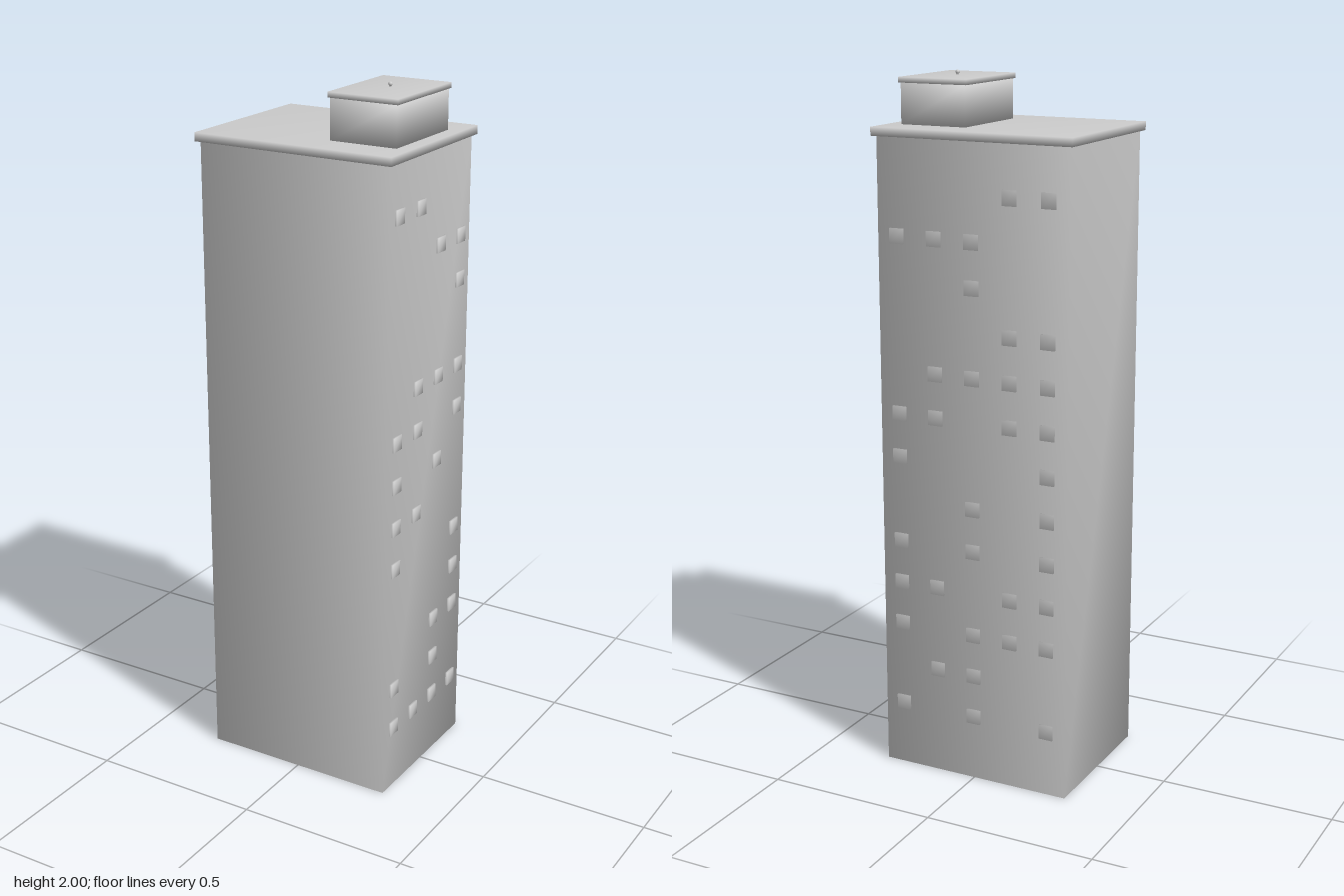
import * as THREE from 'three';
import { mergeVertices } from 'three/addons/utils/BufferGeometryUtils.js';

const material = new THREE.MeshStandardMaterial({ color: 0xcccccc });

// Box with welded corners, so the shading runs softly across its edges
function softBox(w, h, d) {
  const box = new THREE.BoxGeometry(w, h, d);
  box.deleteAttribute('normal');
  box.deleteAttribute('uv');
  const welded = mergeVertices(box);
  welded.computeVertexNormals();
  return welded;
}

function addPart(parent, name, geometry, x, y, z) {
  const mesh = new THREE.Mesh(geometry, material);
  mesh.name = name;
  mesh.position.set(x, y, z);
  parent.add(mesh);
  return mesh;
}

// Box placed by its bottom height
function addBlock(parent, name, w, h, d, x, bottom, z) {
  return addPart(parent, name, softBox(w, h, d), x, bottom + h / 2, z);
}

const WIDTH = 0.578, DEPTH = 0.454, HEIGHT = 1.835;
const FIRST_FLOOR = 0.192, FLOOR_STEP = 0.125, BAY = 0.115;

// Floors that carry a window, listed for each column
const SIDE_COLUMNS = [ // from front to back
  [0, 1, 4, 5, 6, 7, 12],
  [0, 5, 7, 8, 12],
  [0, 1, 2, 6, 8, 11],
  [0, 2, 3, 4, 7, 8, 10, 11],
];
const BACK_COLUMNS = [ // from +x to -x
  [0, 2, 3, 4, 6, 7, 11],
  [1, 3, 7, 8, 11],
  [0, 1, 2, 4, 5, 8, 10, 11],
  [2, 3, 7, 8, 9, 12],
  [0, 2, 3, 4, 5, 6, 7, 8, 9, 12],
];

// Wall of windows built facing +z, columns running along +x
function windowWall(name, columns) {
  const wall = new THREE.Group();
  wall.name = name;
  const pane = softBox(0.042, 0.042, 0.012);
  columns.forEach((floors, c) => {
    const x = (c - (columns.length - 1) / 2) * BAY;
    for (const f of floors) addPart(wall, 'window', pane, x, FIRST_FLOOR + f * FLOOR_STEP, 0);
  });
  return wall;
}

export function createModel() {
  const tower = new THREE.Group();
  tower.name = 'towerBlock';

  // Main block and overhanging roof slab
  addBlock(tower, 'body', WIDTH, HEIGHT, DEPTH, 0, 0, 0);
  addBlock(tower, 'roofSlab', 0.602, 0.024, 0.476, 0, HEIGHT, 0);

  // Windows on the +x side and on the back
  const side = windowWall('sideWindows', SIDE_COLUMNS);
  side.rotation.y = Math.PI / 2;
  side.position.x = WIDTH / 2;
  const back = windowWall('backWindows', BACK_COLUMNS);
  back.rotation.y = Math.PI;
  back.position.z = -DEPTH / 2;
  tower.add(side, back);

  // Rooftop lift house with its cap and small finial
  const house = new THREE.Group();
  house.name = 'liftHouse';
  house.position.set(0.162, 0, 0);
  addBlock(house, 'liftHouseWalls', 0.198, 0.113, 0.282, 0, 1.859, 0);
  addBlock(house, 'liftHouseCap', 0.209, 0.015, 0.29, 0, 1.971, 0);
  addPart(house, 'finialStem', new THREE.CylinderGeometry(0.003, 0.003, 0.008, 8), 0, 1.989, 0);
  addPart(house, 'finialBall', new THREE.SphereGeometry(0.006, 12, 8), 0, 1.994, 0);
  tower.add(house);

  return tower;
}
